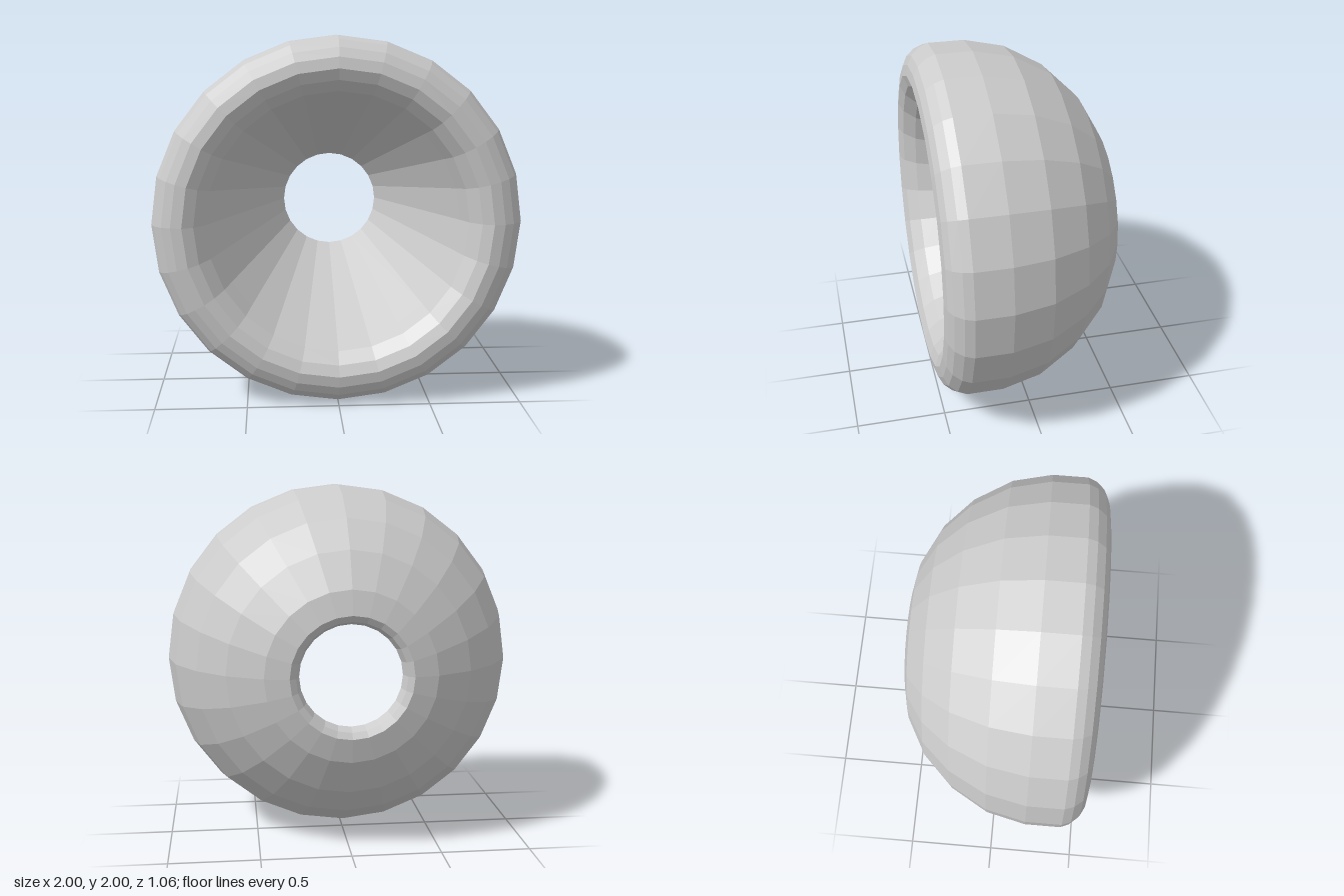
import * as THREE from 'three';

export function createModel() {
  const group = new THREE.Group();
  group.name = 'domedRing';

  // Closed cross-section as (radius, depth): back hole, outer dome, front rim, inner funnel
  const profile = [
    [0.28, -0.45], [0.3, -0.51], [0.335, -0.53],
    [0.47, -0.5], [0.67, -0.39], [0.83, -0.23], [0.95, -0.02], [1, 0.2], [1, 0.4],
    [0.98, 0.45], [0.94, 0.495], [0.89, 0.52], [0.83, 0.53],
    [0.77, 0.505], [0.71, 0.44], [0.67, 0.35],
    [0.28, -0.45],
  ].map(([r, z]) => new THREE.Vector2(r, z));

  // Revolve, then turn the axis to face the front
  const geometry = new THREE.LatheGeometry(profile, 24);
  geometry.rotateX(Math.PI / 2);

  const material = new THREE.MeshStandardMaterial({ color: 0xcccccc, flatShading: true });
  const body = new THREE.Mesh(geometry, material);
  body.name = 'domedRingBody';
  body.position.y = 1;
  group.add(body);
  return group;
}
